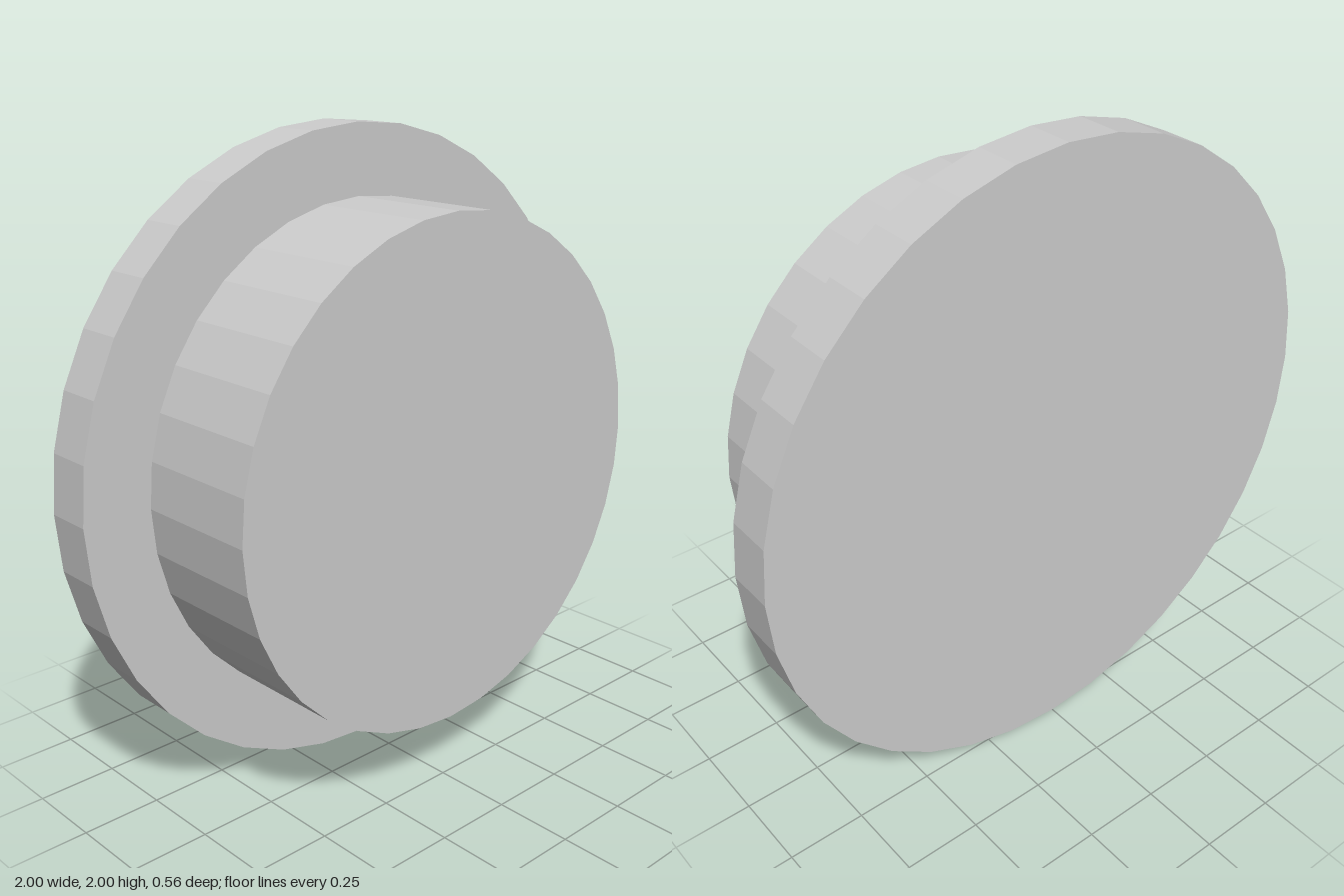
import * as THREE from 'three';

const SIDES = 36;
const CENTER_Y = 1;

// Faceted disc lying along z, from zBack to zFront
function disc(name, radius, zBack, zFront, material) {
  const geometry = new THREE.CylinderGeometry(radius, radius, zFront - zBack, SIDES);
  geometry.rotateX(Math.PI / 2);
  const mesh = new THREE.Mesh(geometry, material);
  mesh.position.set(0, CENTER_Y, (zFront + zBack) / 2);
  mesh.name = name;
  return mesh;
}

export function createModel() {
  const material = new THREE.MeshStandardMaterial({ color: 0xcccccc, flatShading: true });
  const group = new THREE.Group();
  group.name = 'flangedPlug';
  // Wide thin rim at the back, narrower thick body in front
  group.add(disc('flange', 1, -0.28, -0.13, material));
  group.add(disc('body', 0.785, -0.13, 0.28, material));
  return group;
}
